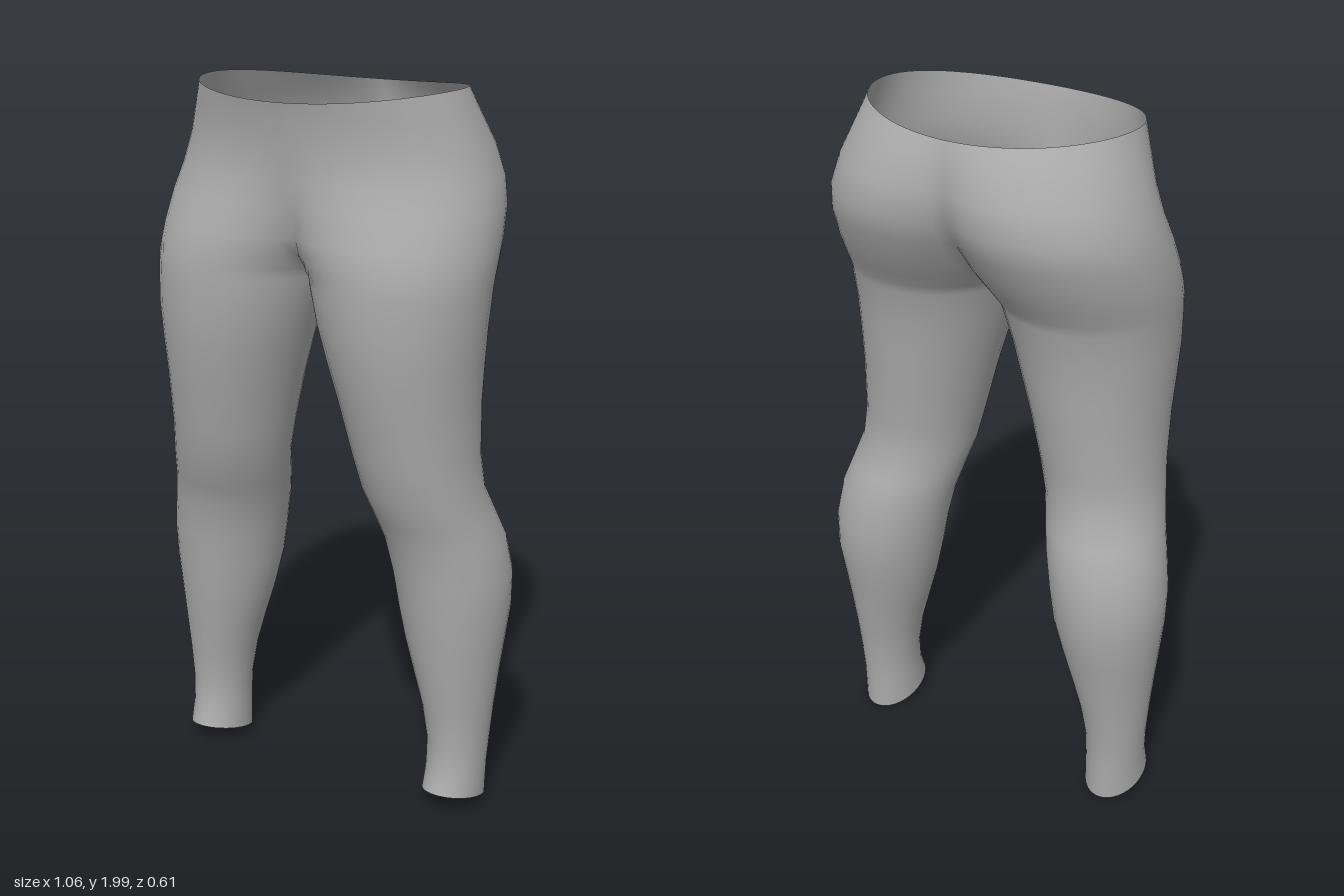
import * as THREE from 'three';
import { mergeVertices } from 'three/addons/utils/BufferGeometryUtils.js';

// Leg rings: height, outer x, inner x, front z, back z
const LEG = [
  [0.0, 0.482, 0.315, 0.12, -0.10],
  [0.12, 0.482, 0.317, 0.097, -0.10],
  [0.2, 0.487, 0.315, 0.09, -0.105],
  [0.3, 0.495, 0.298, 0.10, -0.12],
  [0.4, 0.505, 0.27, 0.115, -0.14],
  [0.5, 0.517, 0.24, 0.127, -0.16],
  [0.6, 0.528, 0.217, 0.14, -0.182],
  [0.7, 0.53, 0.2, 0.15, -0.185],
  [0.8, 0.514, 0.18, 0.165, -0.172],
  [0.87, 0.493, 0.162, 0.19, -0.148],
  [0.95, 0.473, 0.142, 0.222, -0.115],
  [1.05, 0.462, 0.12, 0.245, -0.115],
  [1.2, 0.462, 0.085, 0.275, -0.13],
  [1.3, 0.468, 0.056, 0.293, -0.14],
  [1.4, 0.475, 0.027, 0.305, -0.15],
  [1.5, 0.48, 0.0, 0.306, -0.172],
];

// Hip half rings, open at x = 0: height, outer x, front z, back z, front seam z, back seam z
const HIP = [
  [1.53, 0.482, 0.305, -0.185, 0.14, -0.03],
  [1.57, 0.483, 0.302, -0.21, 0.19, -0.09],
  [1.62, 0.482, 0.293, -0.24, 0.225, -0.15],
  [1.7, 0.475, 0.272, -0.28, 0.245, -0.215],
  [1.77, 0.458, 0.258, -0.303, 0.252, -0.255],
  [1.85, 0.432, 0.26, -0.295, 0.26, -0.268],
  [1.93, 0.402, 0.27, -0.265, 0.27, -0.257],
  [2.0, 0.378, 0.28, -0.245, 0.28, -0.245],
];

const STEPS = 18; // per front or back half of a ring

// Sweep from the back seam around the outside to the front seam
function ring(y, out, zf, zb, sideOf) {
  const zc = (zf + zb) / 2, rz = (zf - zb) / 2, points = [];
  for (let i = -STEPS; i <= STEPS; i++) {
    const { rx, end } = sideOf(i < 0, zc, rz);
    const t = (i / STEPS) * end;
    points.push([out - rx * (1 - Math.cos(t)), y, zc + rz * Math.sin(t)]);
  }
  return points;
}

function legRing([y, out, inner, zf, zb]) {
  return ring(y, out, zf, zb, () => ({ rx: (out - inner) / 2, end: Math.PI }));
}

// The arc is sized so that it meets x = 0 exactly at the seam depth
function hipRing([y, out, zf, zb, seamF, seamB]) {
  return ring(y, out, zf, zb, (back, zc, rz) => {
    const s = Math.min(1, Math.abs((back ? seamB : seamF) - zc) / rz);
    const k = Math.sqrt(1 - s * s);
    return { rx: out / (1 + k), end: Math.PI - Math.asin(s) };
  });
}

function leggingsGeometry() {
  const rings = [...LEG.map(legRing), ...HIP.map(hipRing)];
  // Slanted ankle opening and dipped waistband
  for (const p of rings[0]) p[1] = 0.033 + 0.272 * p[2];
  for (const p of rings[rings.length - 1]) p[1] = 2 - 0.38 * p[2] * p[2];

  const positions = [], index = [], columns = 2 * STEPS + 1;
  for (const side of [1, -1]) {
    const base = positions.length / 3;
    for (const points of rings) for (const [x, y, z] of points) positions.push(side * x, y, z);
    for (let r = 0; r < rings.length - 1; r++) {
      for (let c = 0; c < columns - 1; c++) {
        const a = base + r * columns + c, b = a + 1, d = a + columns, e = d + 1;
        if (side > 0) index.push(a, d, b, b, d, e);
        else index.push(a, b, d, b, e, d);
      }
    }
  }
  const geometry = new THREE.BufferGeometry();
  geometry.setAttribute('position', new THREE.Float32BufferAttribute(positions, 3));
  geometry.setIndex(index);
  // Weld the inner leg and centre seams so shading runs smoothly across them
  const welded = mergeVertices(geometry, 1e-4);
  welded.computeVertexNormals();
  return welded;
}

export function createModel() {
  const fabric = new THREE.MeshStandardMaterial({ color: 0xaaaaaa, side: THREE.DoubleSide });
  fabric.name = 'grey fabric';
  const leggings = new THREE.Mesh(leggingsGeometry(), fabric);
  leggings.name = 'leggings';
  const model = new THREE.Group();
  model.name = 'leggingsModel';
  model.add(leggings);
  return model;
}
